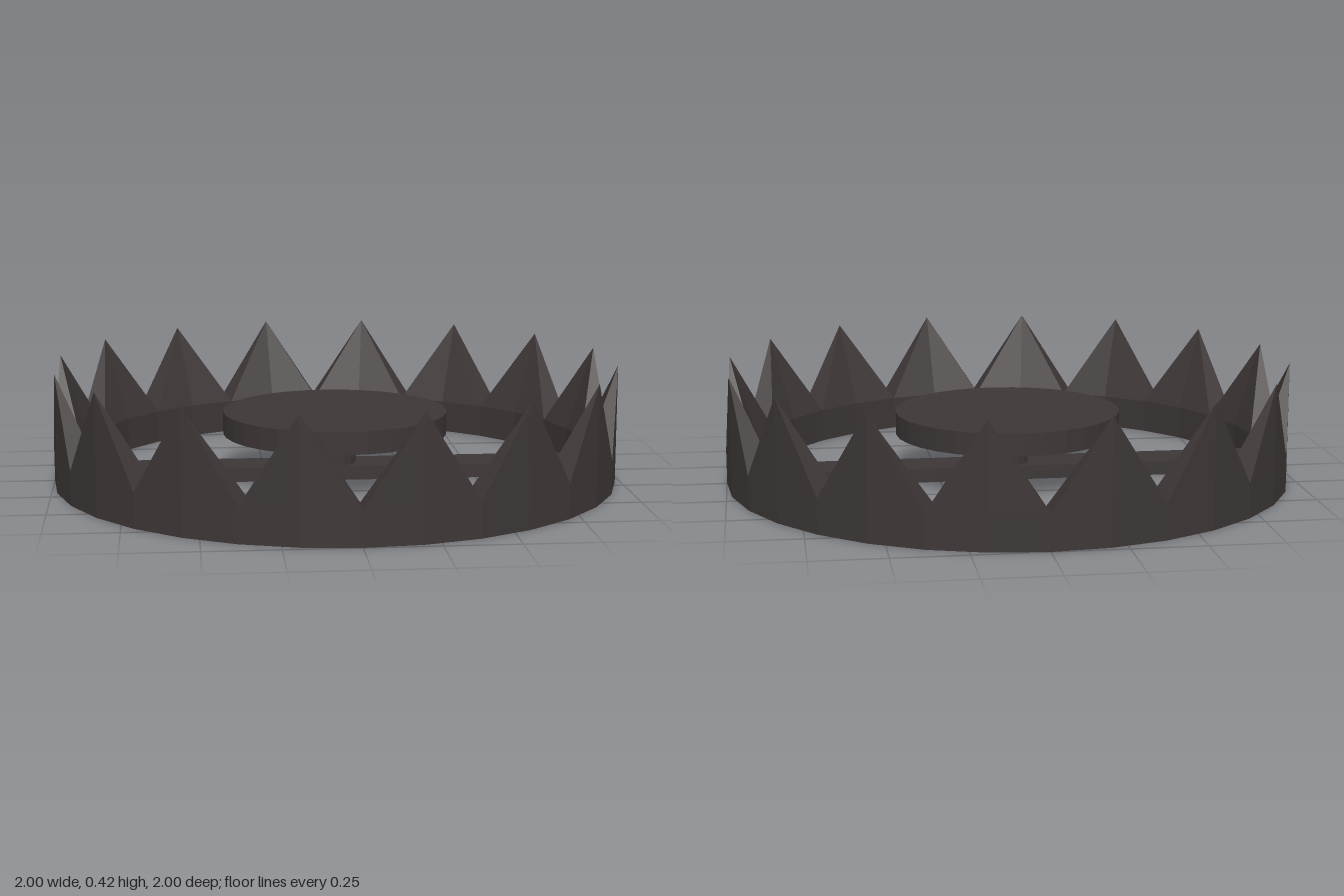
import * as THREE from 'three';

const OUTER = 1, INNER = 0.9, RIM = 0.12, TIP = 0.42, TEETH = 16;

// Ring with pyramid teeth whose tips stand over the outer wall
function toothedRing() {
  const pos = [];
  const tri = (...corners) => corners.forEach((c) => pos.push(...c));
  const quad = (a, b, c, d) => { tri(a, b, c); tri(a, c, d); };
  const at = (step, r, y) => {
    const a = (step * Math.PI) / TEETH;
    return [r * Math.sin(a), y, r * Math.cos(a)];
  };
  for (let i = 0; i < TEETH * 2; i++) {
    const j = i + 1;
    const o0 = at(i, OUTER, 0), o1 = at(j, OUTER, 0);
    const n0 = at(i, INNER, 0), n1 = at(j, INNER, 0);
    const O0 = at(i, OUTER, RIM), O1 = at(j, OUTER, RIM);
    const N0 = at(i, INNER, RIM), N1 = at(j, INNER, RIM);
    // band: outer wall, inner wall, underside
    quad(o0, o1, O1, O0);
    quad(n1, n0, N0, N1);
    quad(o0, n0, n1, o1);
    // half a tooth: outer face, inner face, flank
    const rising = i % 2 === 0;
    const tip = at(rising ? j : i, OUTER, TIP);
    tri(O0, O1, tip);
    tri(N1, N0, tip);
    if (rising) tri(N0, O0, tip);
    else tri(O1, N1, tip);
  }
  const g = new THREE.BufferGeometry();
  g.setAttribute('position', new THREE.Float32BufferAttribute(pos, 3));
  g.computeVertexNormals();
  return g;
}

export function createModel() {
  const model = new THREE.Group();
  model.name = 'jawTrap';
  const iron = new THREE.MeshStandardMaterial({ color: 0x3d3636, flatShading: true });
  iron.name = 'dark iron';

  const add = (name, geometry, y = 0) => {
    const mesh = new THREE.Mesh(geometry, iron);
    mesh.name = name;
    mesh.position.y = y;
    model.add(mesh);
  };

  add('toothedRing', toothedRing());
  add('crossBar', new THREE.BoxGeometry(1.8, 0.05, 0.16), 0.025);
  add('stem', new THREE.CylinderGeometry(0.075, 0.075, 0.11, 16), 0.105);
  add('pressurePlate', new THREE.CylinderGeometry(0.4, 0.4, 0.08, 32), 0.2);
  return model;
}
